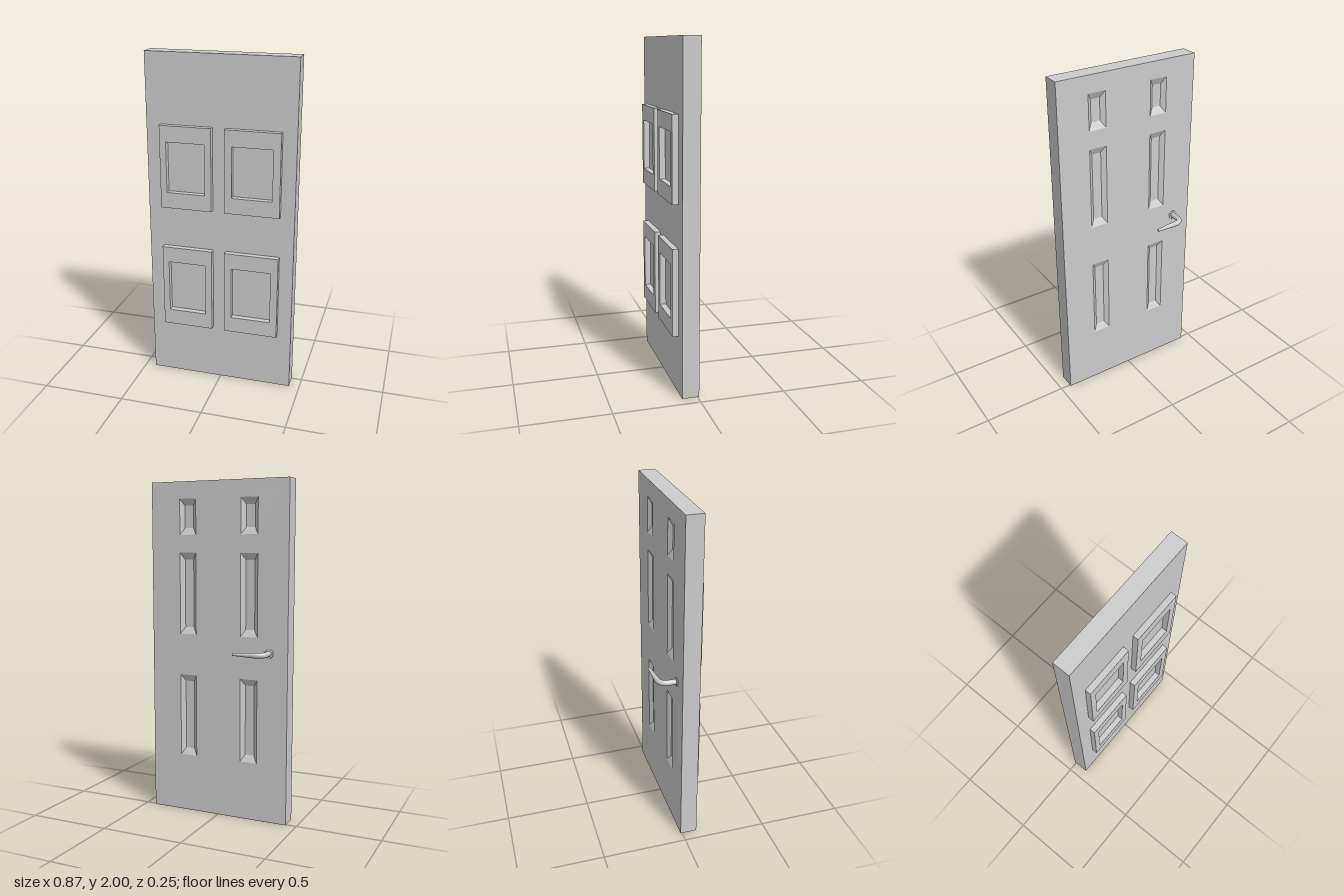
import * as THREE from 'three';

const grey = () => new THREE.MeshStandardMaterial({ color: 0xcccccc });

function add(parent, name, geometry) {
  const mesh = new THREE.Mesh(geometry, grey());
  mesh.name = name;
  parent.add(mesh);
  return mesh;
}

// Corners of a rectangle, counter-clockwise as seen from +z
const corners = (x0, x1, y0, y1) => [[x0, y0], [x1, y0], [x1, y1], [x0, y1]];
const toPath = (Type, pts) => new Type(pts.map(([x, y]) => new THREE.Vector2(x, y)));

// Shallow sunk panel with sloping walls, open towards -z
function recessGeometry(x0, x1, y0, y1, zFace, depth) {
  const ix = 0.025, iy = 0.04;
  const o = corners(x0, x1, y0, y1).map(([x, y]) => [x, y, zFace]);
  const n = corners(x0 + ix, x1 - ix, y0 + iy, y1 - iy).map(([x, y]) => [x, y, zFace + depth]);
  const pos = [];
  const quad = (a, b, c, d) => pos.push(...a, ...b, ...c, ...a, ...c, ...d);
  for (let i = 0; i < 4; i++) {
    const j = (i + 1) % 4;
    quad(o[i], n[i], n[j], o[j]);
  }
  quad(n[0], n[3], n[2], n[1]);
  const g = new THREE.BufferGeometry();
  g.setAttribute('position', new THREE.Float32BufferAttribute(pos, 3));
  g.computeVertexNormals();
  return g;
}

// Tube whose radius follows radiusAt(u) along the curve
function taperedTube(curve, segments, sides, radiusAt) {
  const g = new THREE.TubeGeometry(curve, segments, 1, sides);
  const p = g.attributes.position, v = new THREE.Vector3();
  for (let i = 0; i <= segments; i++) {
    const centre = curve.getPointAt(i / segments);
    for (let j = 0; j <= sides; j++) {
      const k = i * (sides + 1) + j;
      v.fromBufferAttribute(p, k).sub(centre).multiplyScalar(radiusAt(i / segments)).add(centre);
      p.setXYZ(k, v.x, v.y, v.z);
    }
  }
  return g;
}

export function createModel() {
  const model = new THREE.Group();
  model.name = 'door';
  const halfW = 0.437, zBack = -0.01, zFront = 0.09;

  // Slab: a box without its back face, which is made separately with openings
  const slab = new THREE.BoxGeometry(halfW * 2, 2, zFront - zBack);
  slab.setIndex(Array.from(slab.index.array).slice(0, 30));
  slab.clearGroups();
  slab.translate(0, 1, (zFront + zBack) / 2);
  add(model, 'slab', slab);

  // Back face and its six sunk panels
  const face = toPath(THREE.Shape, corners(-halfW, halfW, 0, 2));
  for (const [y0, y1] of [[0.35, 0.85], [1.1, 1.585], [1.69, 1.9]]) {
    for (const [x0, x1] of [[-0.25, -0.144], [0.144, 0.25]]) {
      face.holes.push(toPath(THREE.Path, corners(x0, x1, y0, y1).reverse()));
      add(model, 'sunkPanel', recessGeometry(x0, x1, y0, y1, zBack, 0.02));
    }
  }
  add(model, 'backFace', new THREE.ShapeGeometry(face).rotateY(Math.PI).translate(0, 0, zBack));

  // Four raised frames on the front
  const columns = [[-0.35, -0.045, -0.312, -0.085], [0.033, 0.355, 0.075, 0.312]];
  const rows = [[0.345, 0.855, 0.44, 0.76], [1.105, 1.595, 1.2, 1.5]];
  for (const [x0, x1, hx0, hx1] of columns) {
    for (const [y0, y1, hy0, hy1] of rows) {
      const frame = toPath(THREE.Shape, corners(x0, x1, y0, y1));
      frame.holes.push(toPath(THREE.Path, corners(hx0, hx1, hy0, hy1).reverse()));
      const g = new THREE.ExtrudeGeometry(frame, { depth: 0.035, bevelEnabled: false });
      add(model, 'raisedFrame', g.translate(0, 0, zFront));
    }
  }

  // Lever handle on the back
  const handle = new THREE.Group();
  handle.name = 'handle';
  handle.position.set(-0.323, 1.01, zBack);
  model.add(handle);

  const rosette = [[0.027, 0], [0.027, 0.003], [0.024, 0.006], [0, 0.006]];
  const plate = new THREE.LatheGeometry(rosette.map(([r, y]) => new THREE.Vector2(r, y)), 32);
  add(handle, 'rosette', plate.rotateX(-Math.PI / 2));

  // Neck, bend and tapering grip along one path
  const P = (x, z) => new THREE.Vector3(x, 0, z);
  const path = new THREE.CurvePath();
  path.add(new THREE.LineCurve3(P(0, 0), P(0, -0.05)));
  path.add(new THREE.CubicBezierCurve3(P(0, -0.05), P(0, -0.079), P(0.022, -0.1), P(0.053, -0.1)));
  path.add(new THREE.LineCurve3(P(0.053, -0.1), P(0.183, -0.107)));
  const radiusAt = u => 0.016 - 0.008 * Math.max(0, (u - 0.48) / 0.52);
  add(handle, 'lever', taperedTube(path, 48, 20, radiusAt));

  const tip = add(handle, 'leverTip', new THREE.CircleGeometry(0.008, 20));
  tip.position.copy(path.getPointAt(1));
  tip.lookAt(0, 0, 0);
  tip.quaternion.setFromUnitVectors(new THREE.Vector3(0, 0, 1), path.getTangentAt(1));

  return model;
}
